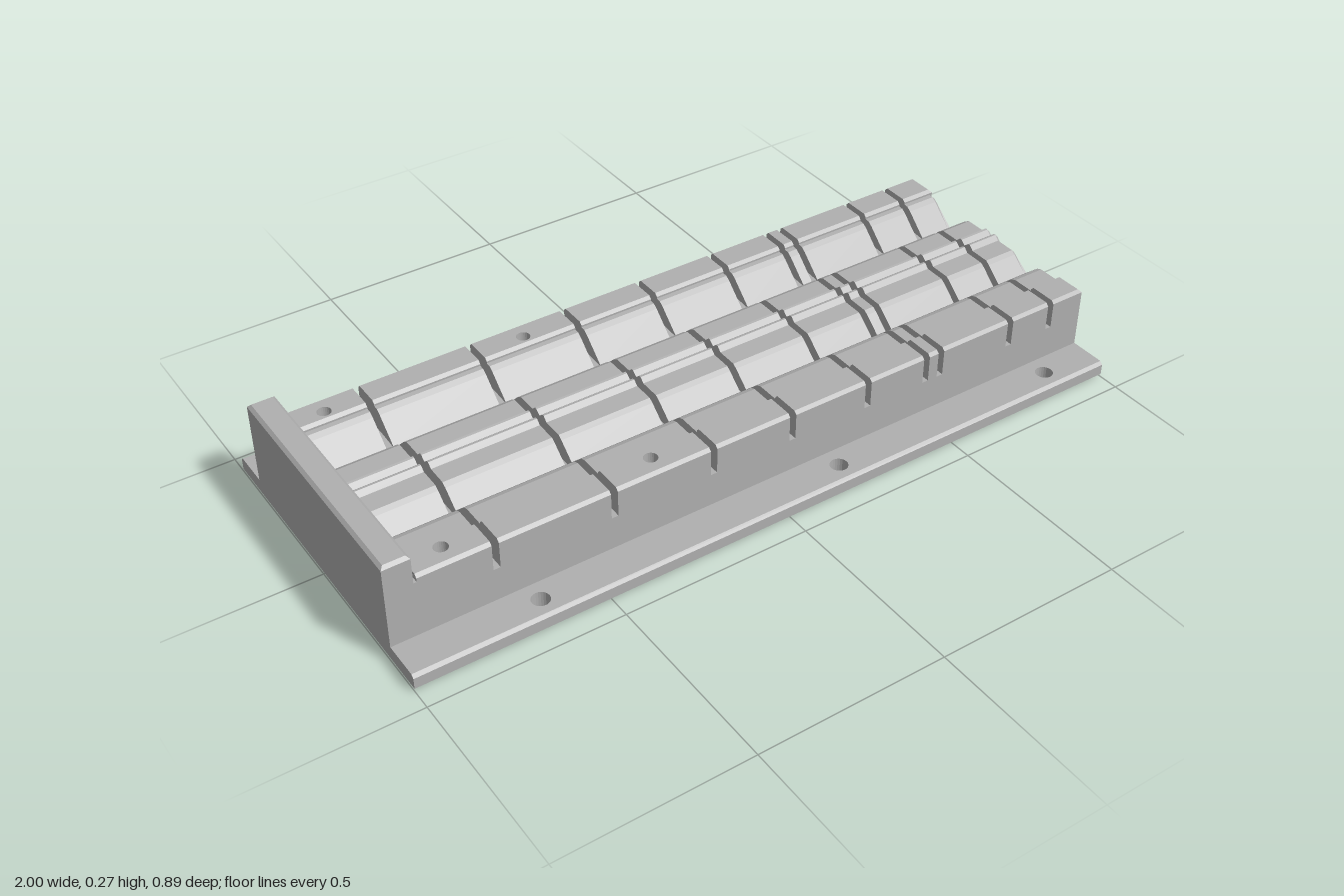
import * as THREE from 'three';

const C = 0.008;              // chamfer size
const SLOT_FLOOR = 0.135;
const BODY_Z = 0.34, RAIL_Z = 0.256, BASE_TOP = 0.045;
const slots = [-0.73, -0.424, -0.152, 0.075, 0.302, 0.484, 0.53, 0.757, 0.893];
const SLOT_W = 0.018;

// Cross-section of the bed: [z, y] from front to back, with two V channels and a centre ridge
const profile = [
  [0.256, 0.2], [0.197, 0.2], [0.183, 0.195], [0.138, 0.154], [0.095, 0.191], [0.083, 0.199],
  [0.028, 0.2], [0.016, 0.212], [0.009, 0.211], [-0.004, 0.2], [-0.017, 0.211], [-0.023, 0.212],
  [-0.036, 0.2], [-0.09, 0.2], [-0.106, 0.191], [-0.167, 0.131], [-0.23, 0.19], [-0.243, 0.199], [-0.256, 0.2],
];

export function createModel() {
  const model = new THREE.Group();
  model.name = 'cuttingJig';
  const grey = new THREE.MeshStandardMaterial({ color: 0xb0b0b0 });
  grey.name = 'plain grey';

  const add = (parent, name, geometry) => {
    const mesh = new THREE.Mesh(geometry, grey);
    mesh.name = name;
    parent.add(mesh);
  };
  const group = (name) => {
    const g = new THREE.Group();
    g.name = name;
    model.add(g);
    return g;
  };

  // Horizontal slab with vertical holes {x, z, r, n}; its top or bottom outline can be drawn in
  function slab(x0, x1, z0, z1, y0, y1, holes = [], taper = {}) {
    const s = new THREE.Shape([
      new THREE.Vector2(x0, -z0), new THREE.Vector2(x0, -z1),
      new THREE.Vector2(x1, -z1), new THREE.Vector2(x1, -z0),
    ]);
    for (const h of holes) {
      if (h.x < x0 || h.x > x1 || h.z < z0 || h.z > z1) continue;
      const pts = [];
      for (let i = 0; i < h.n; i++) {
        const a = (i / h.n) * Math.PI * 2;
        pts.push(new THREE.Vector2(h.x + h.r * Math.cos(a), -h.z + h.r * Math.sin(a)));
      }
      s.holes.push(new THREE.Path(pts));
    }
    const g = new THREE.ExtrudeGeometry(s, { depth: y1 - y0, bevelEnabled: false });
    g.rotateX(-Math.PI / 2).translate(0, y0, 0);
    const p = g.attributes.position;
    const near = (a, b) => Math.abs(a - b) < 1e-4;
    const { at, left = 0, right = 0, sides = 0 } = taper;
    for (let i = 0; i < p.count; i++) {
      if (at === undefined || !near(p.getY(i), at)) continue;
      const x = p.getX(i), z = p.getZ(i);
      if (near(x, x0)) p.setX(i, x + left);
      if (near(x, x1)) p.setX(i, x - right);
      if (near(z, z0)) p.setZ(i, z + sides);
      if (near(z, z1)) p.setZ(i, z - sides);
    }
    g.computeVertexNormals();
    return g;
  }

  // Length of the bed between two x positions, cut off at a ceiling; drop lowers the far end's top
  function bedPiece(x0, x1, ceiling = 1, drop = 0) {
    const pts = profile.map(([z, y]) => new THREE.Vector2(-z, Math.min(y, ceiling)));
    pts.push(new THREE.Vector2(RAIL_Z, BASE_TOP), new THREE.Vector2(-RAIL_Z, BASE_TOP));
    const g = new THREE.ExtrudeGeometry(new THREE.Shape(pts), { depth: x1 - x0, bevelEnabled: false });
    g.rotateY(Math.PI / 2).translate(x0, 0, 0);
    const p = g.attributes.position;
    for (let i = 0; i < p.count; i++) {
      if (p.getX(i) > x1 - 1e-4 && p.getY(i) > 0.18) p.setY(i, p.getY(i) - drop);
    }
    g.computeVertexNormals();
    return g;
  }

  // Screw holes in the flanges and rails, with hexagonal pockets below the rails
  const flangeHoles = [], railHoles = [], pockets = [];
  for (const s of [-1, 1]) {
    for (const x of [-0.655, 0.18, 0.845]) flangeHoles.push({ x, z: s * 0.392, r: 0.023, n: 24 });
    for (const x of [-0.835, -0.293]) {
      railHoles.push({ x, z: s * 0.288, r: 0.018, n: 24 });
      pockets.push({ x, z: s * 0.288, r: 0.026, n: 6 });
    }
  }

  // Base plate with chamfered edges
  const base = group('basePlate');
  const baseHoles = [...flangeHoles, ...pockets];
  add(base, 'baseLowerChamfer', slab(-1, 1, -0.445, 0.445, 0, C, baseHoles, { at: 0, left: C, right: C, sides: C }));
  add(base, 'baseMiddle', slab(-1, 1, -0.445, 0.445, C, BASE_TOP - C, baseHoles));
  add(base, 'baseUpperChamfer',
    slab(-1, 1, -0.445, 0.445, BASE_TOP - C, BASE_TOP, baseHoles, { at: BASE_TOP, sides: C }));

  // End stop
  const stop = group('endStop');
  add(stop, 'stopBlock', slab(-1, -0.93, -BODY_Z, BODY_Z, BASE_TOP, 0.265));
  add(stop, 'stopTop', slab(-1, -0.93, -BODY_Z, BODY_Z, 0.265, 0.273, [], { at: 0.273, left: C, right: C, sides: C }));

  // Solid lower walls under the rails
  const bed = group('bed'), rails = group('rails');
  const sides = [[-BODY_Z, -RAIL_Z], [RAIL_Z, BODY_Z]];
  for (const [z0, z1] of sides) {
    add(rails, 'lowerWall', slab(-0.93, 1, z0, z1, BASE_TOP, SLOT_FLOOR, railHoles));
    add(rails, 'stopReliefWall', slab(-0.93, -0.922, z0, z1, SLOT_FLOOR, 0.195));
  }
  add(bed, 'stopRelief', bedPiece(-0.93, -0.922, 0.195));

  // Bed and rail lengths between the saw slots
  let start = -0.922;
  for (const x of [...slots, null]) {
    const last = x === null;
    const end = last ? 1 : x - SLOT_W / 2;
    add(bed, 'bedLength', bedPiece(start, last ? end - C : end));
    if (last) add(bed, 'bedEndChamfer', bedPiece(end - C, end, 1, C));
    else add(bed, 'slotFloor', bedPiece(end, x + SLOT_W / 2, SLOT_FLOOR));
    for (const [z0, z1] of sides) {
      add(rails, 'railLength', slab(start, end, z0, z1, SLOT_FLOOR, 0.205, railHoles));
      add(rails, 'railTop',
        slab(start, end, z0, z1, 0.205, 0.213, railHoles, { at: 0.213, right: last ? C : 0, sides: C }));
    }
    if (!last) start = x + SLOT_W / 2;
  }
  return model;
}
